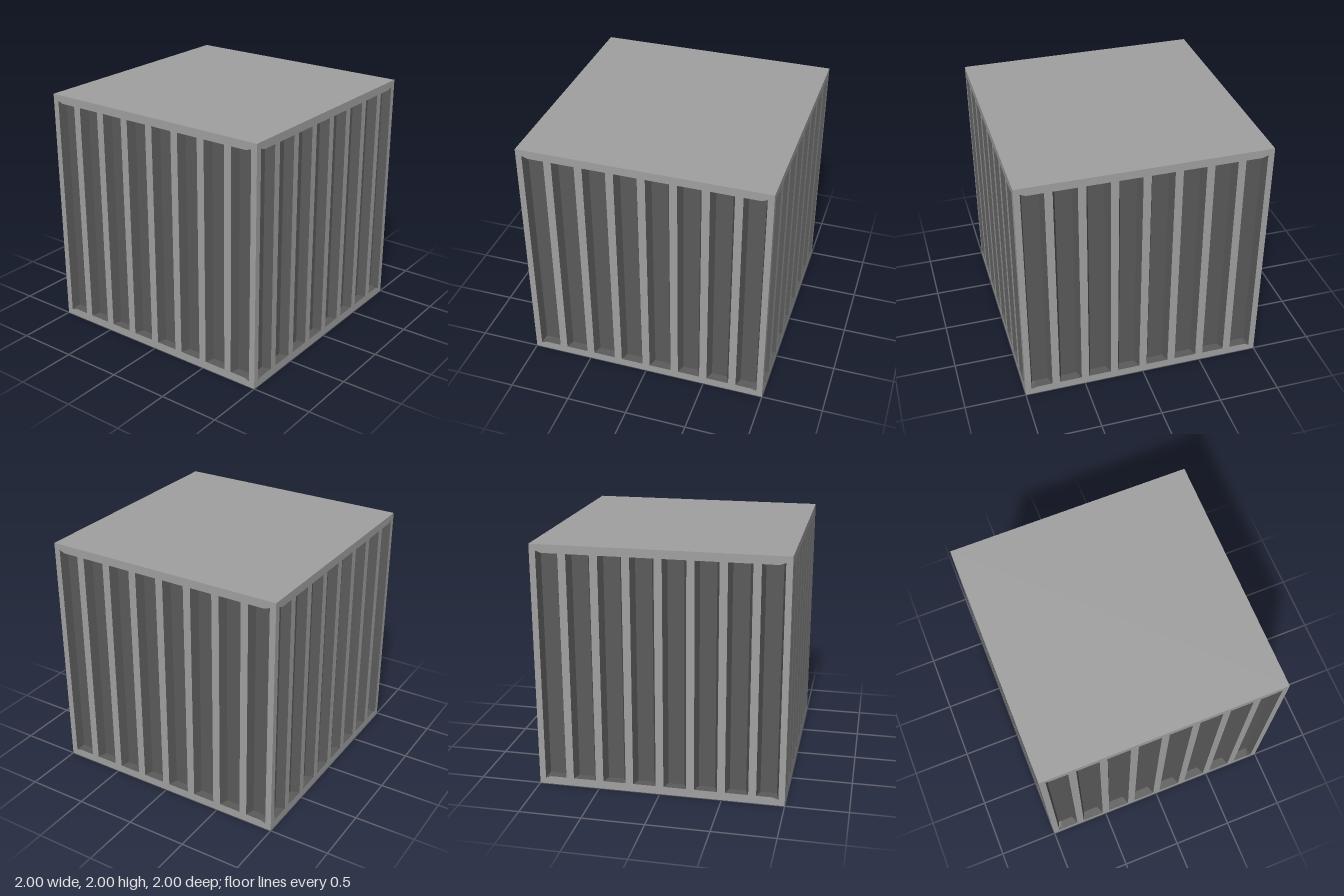
import * as THREE from 'three';

const DEPTH = 0.07; // how far the grooves sink into each side
const LOW = 0.067, HIGH = 1.933; // groove ends at the surface
const FLOOR_LOW = 0.07, FLOOR_HIGH = 1.93; // groove ends at the floor

const points = (list) => list.map(([x, y]) => new THREE.Vector2(x, y));

// Ordinary groove with slanted flanks
function middleGroove(cx) {
  const loop = (w, lo, hi) => points([[cx - w, lo], [cx + w, lo], [cx + w, hi], [cx - w, hi]]);
  return { rim: loop(0.0925, LOW, HIGH), floor: loop(0.065, FLOOR_LOW, FLOOR_HIGH) };
}

// Groove beside the corner post, flared at its outer corners
function endGroove(side) {
  const loop = (list) => {
    const p = points(list.map(([x, y]) => [x * side, y]));
    return side < 0 ? p.reverse() : p;
  };
  return {
    rim: loop([[0.775, LOW], [0.905, LOW], [0.95, 0.05], [0.95, 1.95], [0.905, HIGH], [0.775, HIGH]]),
    floor: loop([[0.8, FLOOR_LOW], [0.905, FLOOR_LOW], [0.93, FLOOR_LOW],
      [0.93, FLOOR_HIGH], [0.905, FLOOR_HIGH], [0.8, FLOOR_HIGH]]),
  };
}

// Walls joining the rim loop to the floor loop
function wallGeometry({ rim, floor }) {
  const pos = [];
  rim.forEach((a, i) => {
    const j = (i + 1) % rim.length;
    const b = rim[j], c = floor[j], d = floor[i];
    pos.push(a.x, a.y, 0, b.x, b.y, 0, c.x, c.y, -DEPTH);
    pos.push(a.x, a.y, 0, c.x, c.y, -DEPTH, d.x, d.y, -DEPTH);
  });
  const geo = new THREE.BufferGeometry();
  geo.setAttribute('position', new THREE.Float32BufferAttribute(pos, 3));
  geo.computeVertexNormals();
  return geo;
}

export function createModel() {
  const frameGrey = new THREE.MeshStandardMaterial({ color: 0xa0a0a0 });
  frameGrey.name = 'frameGrey';
  const grooveGrey = new THREE.MeshStandardMaterial({ color: 0x5a5a5a });
  grooveGrey.name = 'grooveGrey';

  const model = new THREE.Group();
  model.name = 'ribbedCube';
  const add = (parent, name, geo, mat) => {
    const mesh = new THREE.Mesh(geo, mat);
    mesh.name = name;
    parent.add(mesh);
    return mesh;
  };

  const grooves = [endGroove(-1), endGroove(1)];
  for (let i = 0; i < 6; i++) grooves.push(middleGroove((i - 2.5) * 0.248));

  // Face of frame and ribs, with an opening for every groove
  const face = new THREE.Shape(points([[-1, 0], [1, 0], [1, 2], [-1, 2]]));
  grooves.forEach((g) => face.holes.push(new THREE.Path(g.rim)));
  const faceGeo = new THREE.ShapeGeometry(face);
  const wallGeos = grooves.map(wallGeometry);
  const floorGeos = grooves.map((g) => new THREE.ShapeGeometry(new THREE.Shape(g.floor)));

  // Four identical sides
  ['front', 'left', 'back', 'right'].forEach((name, k) => {
    const side = new THREE.Group();
    side.name = name + 'Side';
    side.rotation.y = k * Math.PI / 2;
    const panel = new THREE.Group();
    panel.name = name + 'Panel';
    panel.position.z = 1;
    side.add(panel);
    add(panel, 'frameAndRibs', faceGeo, frameGrey);
    grooves.forEach((g, i) => {
      add(panel, 'grooveWalls', wallGeos[i], grooveGrey);
      add(panel, 'grooveFloor', floorGeos[i], grooveGrey).position.z = -DEPTH;
    });
    model.add(side);
  });

  // Plain top and bottom
  const plate = new THREE.PlaneGeometry(2, 2);
  const top = add(model, 'topPlate', plate, frameGrey);
  top.rotation.x = -Math.PI / 2;
  top.position.y = 2;
  add(model, 'bottomPlate', plate, frameGrey).rotation.x = Math.PI / 2;

  return model;
}
